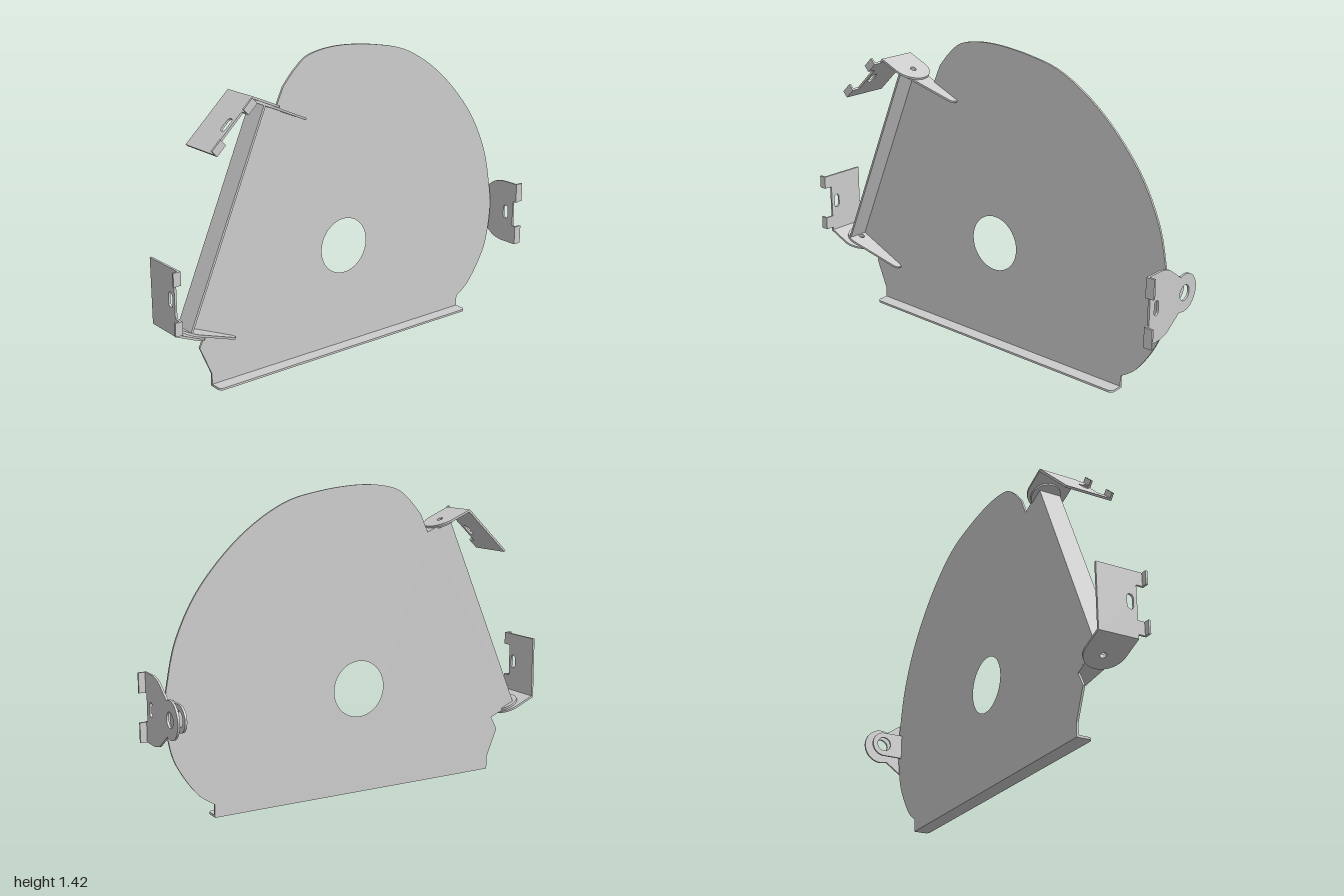
import * as THREE from 'three';
import { toCreasedNormals } from 'three/addons/utils/BufferGeometryUtils.js';

const T = 0.01; // sheet thickness
const material = new THREE.MeshStandardMaterial({ color: 0xcccccc });
const V = (x, y) => new THREE.Vector2(x, y);

function mesh(name, geometry) {
  const m = new THREE.Mesh(geometry, material);
  m.name = name;
  return m;
}

function sheet(name, shape) {
  const g = new THREE.ExtrudeGeometry(shape, { depth: T, bevelEnabled: false, curveSegments: 20 });
  return mesh(name, toCreasedNormals(g, 0.5));
}

function box(name, x0, x1, y0, y1, z0, z1) {
  const g = new THREE.BoxGeometry(x1 - x0, y1 - y0, z1 - z0);
  return mesh(name, g.translate((x0 + x1) / 2, (y0 + y1) / 2, (z0 + z1) / 2));
}

function roundHole(shape, x, y, r) {
  shape.holes.push(new THREE.Path().absarc(x, y, r, 0, Math.PI * 2, true));
}

// Slot running along x
function slotHole(shape, x, y, half, r) {
  const p = new THREE.Path();
  p.absarc(x + half - r, y, r, -Math.PI / 2, Math.PI / 2, false);
  p.absarc(x - half + r, y, r, Math.PI / 2, Math.PI * 1.5, false);
  shape.holes.push(p);
}

// Shape lying flat: shape y becomes z, thickness goes down
function flatSheet(name, shape, y) {
  const m = sheet(name, shape);
  m.rotation.x = Math.PI / 2;
  m.position.y = y;
  return m;
}

// Upright sheet: shape x runs along (dx, dy), shape y runs along z
function orientUpright(object, dx, dy, x, y) {
  const basis = new THREE.Matrix4().makeBasis(
    new THREE.Vector3(dx, dy, 0), new THREE.Vector3(0, 0, 1), new THREE.Vector3(dy, -dx, 0));
  object.quaternion.setFromRotationMatrix(basis);
  object.position.set(x, y, 0);
}

function backPlate() {
  const s = new THREE.Shape();
  s.moveTo(0.735, 0);
  s.lineTo(-0.73, 0);
  s.lineTo(-0.73, 0.06);
  s.lineTo(-0.787, 0.195);
  s.lineTo(-0.75, 0.267);
  s.lineTo(-0.885, 0.325);
  s.lineTo(-0.495, 1.235);
  s.lineTo(-0.37, 1.182);
  s.lineTo(-0.328, 1.274);
  s.splineThru([
    V(-0.26, 1.348), V(-0.18, 1.4), V(-0.02, 1.42), V(0.195, 1.4), V(0.39, 1.348),
    V(0.595, 1.215), V(0.78, 1.017), V(0.89, 0.814), V(0.937, 0.63), V(0.953, 0.49),
    V(0.932, 0.33), V(0.89, 0.227), V(0.81, 0.115), V(0.735, 0.06)]);
  roundHole(s, 0.005, 0.49, 0.13);
  const g = new THREE.ExtrudeGeometry(s, { depth: T, bevelEnabled: false, curveSegments: 64 });
  return mesh('backPlate', toCreasedNormals(g, 0.3));
}

function bottomFlange() {
  const s = new THREE.Shape();
  const r = 0.02, z = 0.073;
  s.moveTo(-0.73, 0);
  s.lineTo(0.735, 0);
  s.absarc(0.735 - r, z - r, r, 0, Math.PI / 2, false);
  s.absarc(-0.73 + r, z - r, r, Math.PI / 2, Math.PI, false);
  return flatSheet('bottomFlange', s, T);
}

// Gusset with a round eye, tapering along the plate
function hingeTab() {
  const s = new THREE.Shape();
  s.moveTo(0.295, 0);
  s.lineTo(0.295, 0.025);
  s.quadraticCurveTo(0.295, 0.04, 0.275, 0.047);
  s.absarc(0.025, 0.045, 0.068, 1.28, Math.PI * 2 - 0.72, false);
  roundHole(s, 0.025, 0.045, 0.014);
  return flatSheet('hingeTab', s, 0);
}

// Swivel bracket: a round-ended base and a wing with two curled lips
function swivelBracket() {
  const g = new THREE.Group();
  g.name = 'swivelBracket';
  const zMin = -0.045, zMax = 0.14, zMid = (zMin + zMax) / 2;

  const base = new THREE.Shape();
  base.moveTo(-0.092, zMin);
  base.lineTo(0.01, zMin);
  base.absellipse(0.01, zMid, 0.09, zMax - zMid, -Math.PI / 2, Math.PI / 2, false);
  base.lineTo(-0.092, zMax);
  roundHole(base, 0.025, 0.045, 0.014);
  g.add(flatSheet('bracketBase', base, -T));

  const wing = new THREE.Group();
  const w = new THREE.Shape([
    V(0, zMin), V(0.295, zMin), V(0.295, 0.18), V(0.235, 0.18), V(0.235, zMax),
    V(0.08, zMax), V(0.08, 0.18), V(0.02, 0.18), V(0.02, zMax), V(0, zMax)]);
  slotHole(w, 0.155, 0.108, 0.033, 0.015);
  wing.add(sheet('bracketWing', w));
  for (const a of [0.02, 0.235]) wing.add(box('lip', a, a + 0.06, 0.17, 0.18, -0.025, 0));
  orientUpright(wing, -0.394, 0.919, -0.092, -0.02);
  g.add(wing);
  return g;
}

// Slanted edge: strip with mirrored hinge parts at both ends
function hingeEdge() {
  const g = new THREE.Group();
  g.name = 'hingeEdge';
  const half = 0.495;
  g.add(box('edgeStrip', 0, T, -half, half, 0, 0.105));
  for (const side of [1, -1]) {
    const end = new THREE.Group();
    end.name = side > 0 ? 'lowerHinge' : 'upperHinge';
    end.add(hingeTab(), swivelBracket());
    end.scale.y = side;
    end.position.y = -side * half;
    g.add(end);
  }
  g.position.set(-0.69, 0.78, 0);
  g.rotation.z = -Math.atan2(0.39, 0.91);
  return g;
}

// Side bracket with eye behind the plate, plus the ear it mounts on
function sideBracket() {
  const g = new THREE.Group();
  g.name = 'sideBracket';
  const h = 0.155, eye = -0.095, a = 0.4;
  const s = new THREE.Shape();
  s.moveTo(h, 0.18);
  s.lineTo(0.063, 0.18);
  s.lineTo(0.063, 0.16);
  s.lineTo(-0.063, 0.16);
  s.lineTo(-0.063, 0.18);
  s.lineTo(-h, 0.18);
  s.lineTo(-h, 0.1);
  s.quadraticCurveTo(-h, 0.06, -0.14, 0.025);
  s.absarc(0, eye, 0.085, Math.PI - a, Math.PI * 2 + a, false);
  s.lineTo(0.14, 0.025);
  s.quadraticCurveTo(h, 0.06, h, 0.1);
  roundHole(s, 0, eye, 0.035);
  slotHole(s, 0, 0.112, 0.033, 0.015);
  g.add(sheet('bracketPlate', s));
  for (const c of [-0.11, 0.11]) g.add(box('lip', c - 0.045, c + 0.045, 0.17, 0.18, T, 0.04));

  const e = new THREE.Shape();
  e.moveTo(0.06, 0);
  e.lineTo(-0.06, 0);
  e.absarc(0, eye, 0.06, Math.PI, Math.PI * 2, false);
  roundHole(e, 0, eye, 0.035);
  const ear = sheet('mountingEar', e);
  ear.position.z = -0.042;
  g.add(ear);

  orientUpright(g, 0, 1, 0.96, 0.488);
  return g;
}

export function createModel() {
  const model = new THREE.Group();
  model.name = 'bladeGuardPlate';
  model.add(backPlate(), bottomFlange(), hingeEdge(), sideBracket());
  return model;
}
